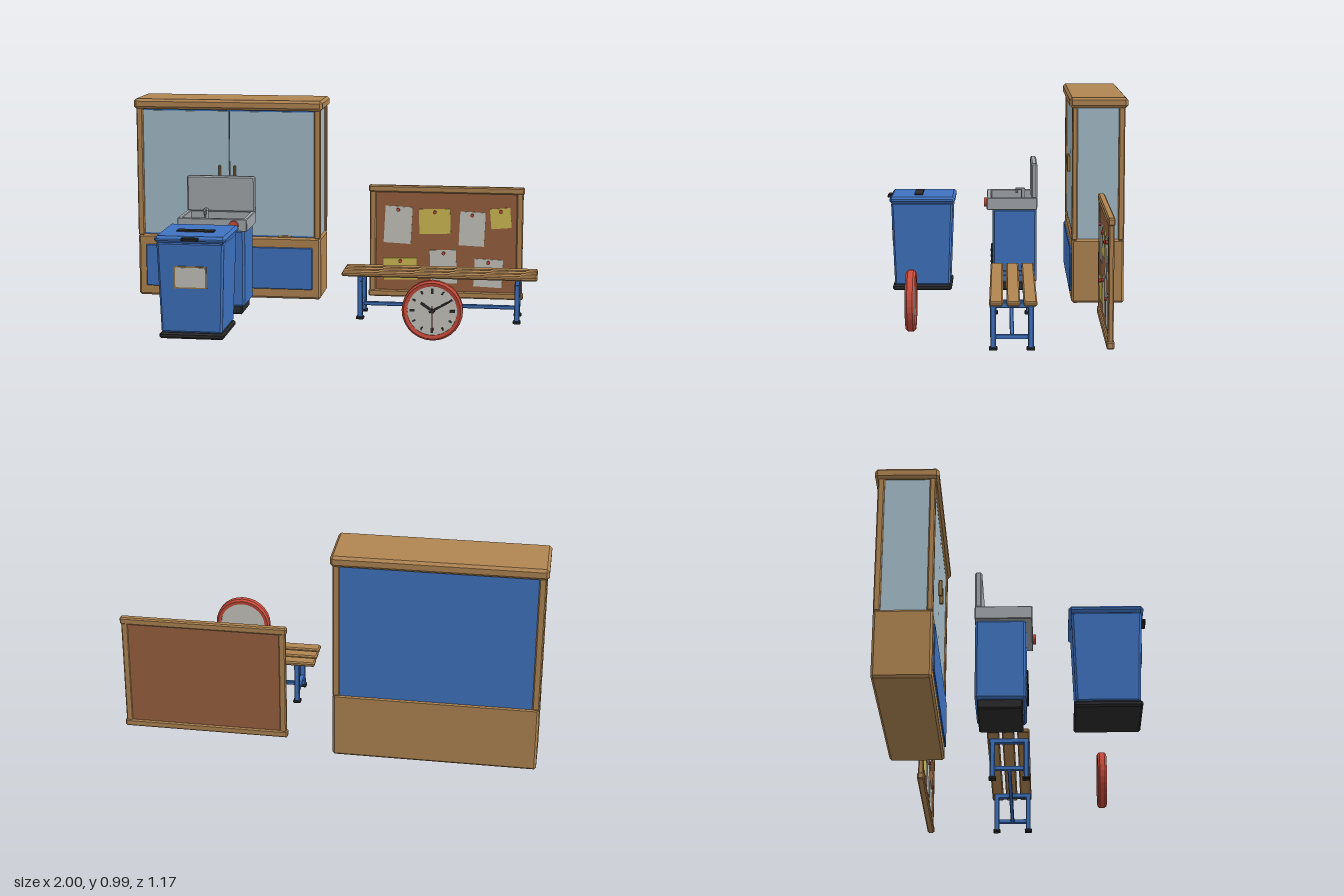
import * as THREE from 'three';
import { ConvexGeometry } from 'three/addons/geometries/ConvexGeometry.js';

const mat = (name, color, extra = {}) => {
  const m = new THREE.MeshStandardMaterial({ color, flatShading: true, ...extra });
  m.name = name;
  return m;
};

export function createModel() {
  const wood = mat('wood', 0xb08552), blue = mat('blue paint', 0x3f73c0), glass = mat('glass', 0xa5bcc8);
  const steel = mat('steel', 0xa3a8ad), black = mat('black rubber', 0x2b2b2d), cork = mat('cork', 0x99623f);
  const paper = mat('white paper', 0xc9c7c0), yellow = mat('yellow paper', 0xd2bd55);
  const red = mat('red', 0xc84c3c, { side: THREE.DoubleSide }), brass = mat('brass', 0x9a7a45);
  const root = new THREE.Group();

  const group = (name) => {
    const g = new THREE.Group();
    g.name = name;
    root.add(g);
    return g;
  };
  const add = (g, name, geo, m, x = 0, y = 0, z = 0) => {
    const mesh = new THREE.Mesh(geo, m);
    mesh.name = name;
    mesh.position.set(x, y, z);
    g.add(mesh);
    return mesh;
  };
  // Chamfered box from its extents; tx and tz narrow the bottom
  const box = (g, name, m, [x0, x1], [y0, y1], [z0, z1], c = 0, tx = 1, tz = tx) => {
    const w = (x1 - x0) / 2, h = (y1 - y0) / 2, d = (z1 - z0) / 2;
    let geo;
    if (c === 0) geo = new THREE.BoxGeometry(2 * w, 2 * h, 2 * d);
    else {
      const pts = [];
      for (const sx of [-1, 1]) for (const sy of [-1, 1]) for (const sz of [-1, 1]) {
        const kx = sy < 0 ? tx : 1, kz = sy < 0 ? tz : 1;
        for (const [a, b, e] of [[0, c, c], [c, 0, c], [c, c, 0]])
          pts.push(new THREE.Vector3(sx * (w - a) * kx, sy * (h - b), sz * (d - e) * kz));
      }
      geo = new ConvexGeometry(pts);
    }
    return add(g, name, geo, m, (x0 + x1) / 2, (y0 + y1) / 2, (z0 + z1) / 2);
  };
  const cyl = (g, name, m, r, len, x, y, z, axis = 'y', sides = 16) => {
    const geo = new THREE.CylinderGeometry(r, r, len, sides);
    if (axis === 'z') geo.rotateX(Math.PI / 2);
    return add(g, name, geo, m, x, y, z);
  };

  // Display cabinet
  const cab = group('display cabinet');
  box(cab, 'cabinet base', wood, [-0.99, -0.07], [0, 0.31], [-0.572, -0.321], 0.01);
  box(cab, 'cabinet cap', wood, [-1, -0.06], [0.94, 0.99], [-0.585, -0.308], 0.012);
  box(cab, 'base front panel', blue, [-0.95, -0.11], [0.05, 0.26], [-0.325, -0.313], 0.003);
  for (const [x0, x1] of [[-0.99, -0.958], [-0.102, -0.07]])
    for (const [z0, z1] of [[-0.348, -0.321], [-0.572, -0.542]])
      box(cab, 'corner post', wood, [x0, x1], [0.305, 0.945], [z0, z1], 0.005);
  box(cab, 'back board', blue, [-0.96, -0.1], [0.305, 0.942], [-0.566, -0.552]);
  for (const x of [-0.976, -0.084])
    box(cab, 'side glass', glass, [x - 0.004, x + 0.004], [0.308, 0.942], [-0.545, -0.345]);
  for (const [x0, x1] of [[-0.957, -0.5265], [-0.5235, -0.103]])
    box(cab, 'glass door', glass, [x0, x1], [0.318, 0.932], [-0.338, -0.33]);
  box(cab, 'door gap', black, [-0.53, -0.52], [0.318, 0.932], [-0.342, -0.339]);
  for (const y of [0.313, 0.936])
    box(cab, 'door rail', blue, [-0.957, -0.103], [y - 0.006, y + 0.006], [-0.345, -0.336]);
  for (const s of [-1, 1]) {
    box(cab, 'door handle', brass, [-0.535 + s * 0.038 - 0.005, -0.535 + s * 0.038 + 0.005],
      [0.585, 0.665], [-0.33, -0.312], 0.003);
    box(cab, 'lower catch', brass, [-0.53 + s * 0.28 - 0.033, -0.53 + s * 0.28 + 0.033],
      [0.309, 0.318], [-0.336, -0.326]);
  }

  // Wash station
  const sink = group('wash station');
  box(sink, 'sink plinth', black, [-0.665, -0.395], [0, 0.045], [-0.15, 0.045], 0.006);
  box(sink, 'sink body', blue, [-0.68, -0.38], [0.04, 0.412], [-0.16, 0.06], 0.01);
  box(sink, 'basin floor', steel, [-0.69, -0.37], [0.41, 0.425], [-0.155, 0.08]);
  for (const [x0, x1] of [[-0.697, -0.677], [-0.383, -0.363]])
    box(sink, 'basin side wall', steel, [x0, x1], [0.41, 0.47], [-0.162, 0.088], 0.003);
  for (const [z0, z1] of [[-0.162, -0.14], [0.065, 0.088]])
    box(sink, 'basin end wall', steel, [-0.697, -0.363], [0.41, 0.47], [z0, z1], 0.003);
  box(sink, 'splash back', steel, [-0.697, -0.363], [0.465, 0.64], [-0.162, -0.131], 0.007);
  cyl(sink, 'drain', black, 0.022, 0.004, -0.53, 0.427, -0.04);
  cyl(sink, 'tap stem', steel, 0.01, 0.065, -0.595, 0.455, -0.095, 'y', 10);
  box(sink, 'tap spout', steel, [-0.603, -0.587], [0.477, 0.491], [-0.102, -0.055], 0.003);
  cyl(sink, 'tap nozzle', steel, 0.007, 0.02, -0.595, 0.473, -0.062, 'y', 8);
  cyl(sink, 'red knob', red, 0.023, 0.014, -0.425, 0.44, 0.094, 'z');
  for (let i = 0; i < 4; i++)
    box(sink, 'vent slot', black, [-0.62, -0.44], [0.104 + i * 0.028, 0.116 + i * 0.028], [0.055, 0.069], 0.003);

  // Recycling bin
  const bin = group('recycling bin');
  box(bin, 'bin foot', black, [-0.68, -0.385], [0, 0.028], [0.263, 0.556], 0.008);
  box(bin, 'bin body', blue, [-0.686, -0.379], [0.025, 0.445], [0.256, 0.562], 0.01, 0.91, 0.9);
  box(bin, 'bin lid', blue, [-0.695, -0.37], [0.44, 0.472], [0.245, 0.57], 0.012);
  box(bin, 'lid slot', black, [-0.617, -0.447], [0.47, 0.478], [0.408, 0.45]);
  box(bin, 'lid grip', black, [-0.57, -0.49], [0.453, 0.468], [0.562, 0.586], 0.004);
  const label = new THREE.Group();
  label.name = 'bin label';
  label.position.set(-0.533, 0.285, 0.5575);
  label.rotation.x = 0.036;
  bin.add(label);
  box(label, 'label border', brass, [-0.074, 0.074], [-0.051, 0.051], [-0.006, 0.003]);
  box(label, 'label sheet', paper, [-0.068, 0.068], [-0.045, 0.045], [0.001, 0.005]);

  // Bench
  const bench = group('bench');
  for (const z of [-0.107, -0.036, 0.036])
    box(bench, 'seat slat', wood, [0.085, 1], [0.205, 0.226], [z - 0.029, z + 0.029], 0.006);
  for (const x of [0.172, 0.908]) {
    for (const z of [-0.111, 0.049]) {
      box(bench, 'bench leg', blue, [x - 0.012, x + 0.012], [0.008, 0.2], [z - 0.012, z + 0.012], 0.003);
      box(bench, 'foot pad', black, [x - 0.018, x + 0.018], [0, 0.013], [z - 0.018, z + 0.018], 0.003);
    }
    box(bench, 'seat bearer', blue, [x - 0.012, x + 0.012], [0.182, 0.206], [-0.125, 0.063], 0.003);
    box(bench, 'lower crossbar', blue, [x - 0.009, x + 0.009], [0.048, 0.066], [-0.105, 0.045]);
  }
  box(bench, 'long stretcher', blue, [0.17, 0.91], [0.049, 0.067], [-0.04, -0.022], 0.003);

  // Notice board
  const board = group('notice board');
  box(board, 'cork sheet', cork, [0.175, 0.905], [0.02, 0.55], [-0.457, -0.443]);
  for (const [y0, y1] of [[0.003, 0.037], [0.531, 0.565]])
    box(board, 'frame rail', wood, [0.157, 0.925], [y0, y1], [-0.464, -0.431], 0.006);
  for (const x of [0.178, 0.904])
    box(board, 'frame stile', wood, [x - 0.016, x + 0.016], [0.03, 0.54], [-0.46, -0.435], 0.005);
  // Pinned notes: x, y, width, height, tilt, material
  for (const [x, y, w, h, a, m] of [
    [0.303, 0.367, 0.135, 0.185, -0.05, paper], [0.485, 0.388, 0.155, 0.125, 0.04, yellow],
    [0.67, 0.354, 0.125, 0.17, -0.04, paper], [0.81, 0.41, 0.1, 0.1, 0.09, yellow],
    [0.315, 0.145, 0.165, 0.11, 0.03, yellow], [0.53, 0.16, 0.13, 0.17, 0.05, paper],
    [0.752, 0.133, 0.14, 0.14, -0.04, paper]]) {
    add(board, 'pinned note', new THREE.BoxGeometry(w, h, 0.004), m, x, y, -0.441).rotation.z = a;
    cyl(board, 'push pin', red, 0.009, 0.012, x, y + h / 2 - 0.016, -0.434, 'z', 8);
  }

  // Wall clock
  const clock = group('clock');
  clock.position.set(0.54, 0.137, 0.415);
  const rim = [[0.112, -0.02], [0.128, -0.022], [0.137, -0.012], [0.137, 0.012], [0.128, 0.022], [0.112, 0.018], [0.112, -0.02]];
  const rimGeo = new THREE.LatheGeometry(rim.map(([r, y]) => new THREE.Vector2(r, y)), 28);
  add(clock, 'clock rim', rimGeo.rotateX(Math.PI / 2), red);
  cyl(clock, 'clock face', paper, 0.113, 0.026, 0, 0, 0, 'z', 28);
  // Bar pointing outward from the clock centre, from radius r0 to r1
  const ray = (name, hour, r0, r1, w, z, m = black) => {
    const a = hour * Math.PI / 6, r = (r0 + r1) / 2;
    const bar = add(clock, name, new THREE.BoxGeometry(w, r1 - r0, 0.004), m, Math.sin(a) * r, Math.cos(a) * r, z);
    bar.rotation.z = -a;
  };
  for (let i = 0; i < 12; i++)
    ray('hour mark', i, i % 3 ? 0.086 : 0.078, 0.102, i % 3 ? 0.008 : 0.012, 0.014);
  ray('hour hand', 10.15, -0.012, 0.062, 0.012, 0.016);
  ray('minute hand', 2, -0.015, 0.09, 0.009, 0.018);
  ray('second hand', 6, -0.02, 0.085, 0.004, 0.02, red);
  cyl(clock, 'hand hub', black, 0.01, 0.01, 0, 0, 0.018, 'z', 12);

  return root;
}
